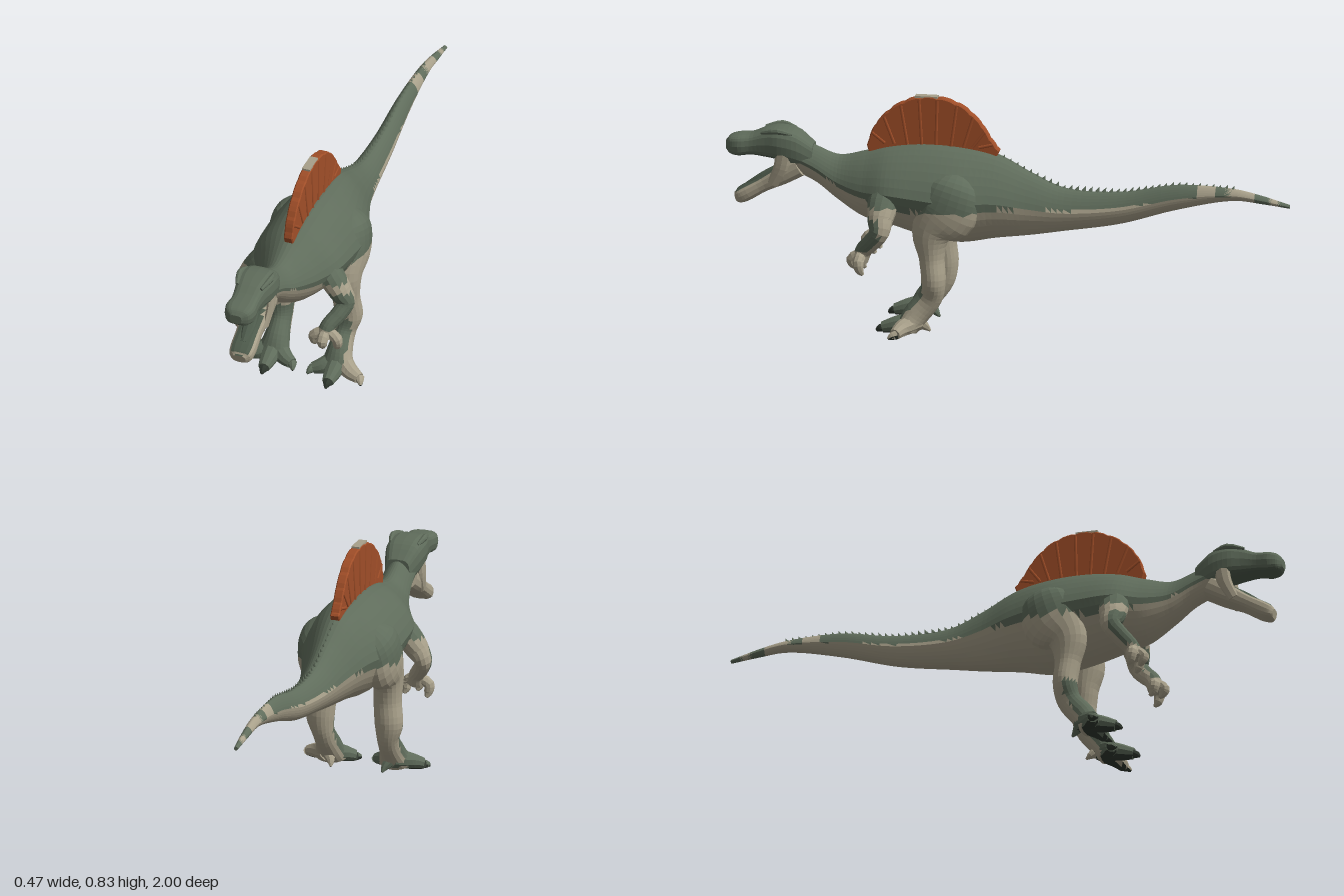
import * as THREE from 'three';

const mat = (name, color) => {
  const m = new THREE.MeshStandardMaterial({ color });
  m.name = name;
  return m;
};
const V = (x, y, z) => new THREE.Vector3(x, y, z);

// Lofts faceted skin through rows of [x, y, z, radiusX, radiusUp].
// upright keeps every ring vertical; pinch narrows top and bottom; power < 1 makes rings boxy.
// paint(centroid, normal) picks the material index of each triangle.
function loft(name, mats, rows, { n = 12, steps = 16, upright = false, pinch = [0, 0], power = 1, paint = () => 0 } = {}) {
  const path = new THREE.CatmullRomCurve3(rows.map(r => V(r[0], r[1], r[2])));
  const radii = new THREE.CatmullRomCurve3(rows.map(r => V(r[3], r[4], r[2])));
  const soft = v => Math.sign(v) * Math.abs(v) ** power;
  const rings = [], centres = [];
  for (let i = 0; i <= steps; i++) {
    const t = i / steps, c = path.getPoint(t), r = radii.getPoint(t);
    const T = upright ? V(0, 0, 1) : path.getTangent(t);
    const side = V(1, 0, 0).addScaledVector(T, -T.x).normalize();
    const up = T.clone().cross(side);
    centres.push(c);
    rings.push(Array.from({ length: n }, (_, j) => {
      const a = (j / n) * Math.PI * 2, sn = soft(Math.sin(a));
      const k = 1 - (sn > 0 ? pinch[0] * sn : -pinch[1] * sn);
      return c.clone().addScaledVector(side, soft(Math.cos(a)) * r.x * k).addScaledVector(up, sn * r.y);
    }));
  }
  const buckets = mats.map(() => []);
  const tri = (a, b, c) => {
    const mid = a.clone().add(b).add(c).divideScalar(3);
    const normal = b.clone().sub(a).cross(c.clone().sub(a)).normalize();
    buckets[paint(mid, normal)].push(...[a, b, c].flatMap(p => [p.x, p.y, p.z]));
  };
  for (let j = 0; j < n; j++) {
    const k = (j + 1) % n;
    for (let i = 0; i < steps; i++) {
      tri(rings[i][j], rings[i][k], rings[i + 1][k]);
      tri(rings[i][j], rings[i + 1][k], rings[i + 1][j]);
    }
    tri(centres[0], rings[0][k], rings[0][j]);
    tri(centres[steps], rings[steps][j], rings[steps][k]);
  }
  const geo = new THREE.BufferGeometry();
  geo.setAttribute('position', new THREE.Float32BufferAttribute(buckets.flat(), 3));
  let start = 0;
  buckets.forEach((b, i) => {
    if (b.length) geo.addGroup(start, b.length / 3, i);
    start += b.length / 3;
  });
  geo.computeVertexNormals();
  const mesh = new THREE.Mesh(geo, mats);
  mesh.name = name;
  return mesh;
}

// Converts [z, bottom, top, halfWidth] into loft rows
const profile = list => list.map(([z, b, t, w]) => [0, (b + t) / 2, z, w, (t - b) / 2]);

// Linear lookup in [z, value] pairs
function lookup(table, z) {
  for (let i = 1; i < table.length; i++) {
    const [z0, a] = table[i - 1], [z1, b] = table[i];
    if (z <= z1) return a + (b - a) * Math.max(0, (z - z0) / (z1 - z0));
  }
  return table[table.length - 1][1];
}

export function createModel() {
  const green = mat('skin green', 0x5f6c5b);
  const beige = mat('belly beige', 0xa8a08a);
  const rust = mat('sail rust', 0xa04e28);
  const dark = mat('claw dark', 0x30382f);
  const mouth = mat('mouth green', 0x4f5c4d);
  const skin = [green, beige, dark];
  const model = new THREE.Group();
  model.name = 'sailBackedDinosaur';

  // Body from tail tip to neck
  const trunk = [
    [-1, .488, .502, .008], [-.9, .5, .53, .015], [-.8, .507, .55, .02], [-.6, .465, .555, .03],
    [-.4, .405, .52, .043], [-.2, .37, .525, .062], [-.08, .35, .575, .085], [.04, .335, .635, .125],
    [.17, .315, .66, .17], [.3, .335, .665, .172], [.42, .37, .65, .16], [.51, .39, .625, .118],
    [.6, .445, .607, .075], [.68, .505, .635, .058], [.78, .55, .68, .055]];
  const edge = [[-1, .45], [-.8, .525], [-.6, .51], [-.4, .47], [-.2, .455], [0, .465], [.15, .45],
    [.35, .45], [.45, .465], [.52, .485], [.6, .515], [.7, .57], [.8, .61]];
  const tailBands = [[-.73, -.67], [-.88, -.78], [-.96, -.93]];
  model.add(loft('body', skin, profile(trunk), {
    n: 32, steps: 90, upright: true, pinch: [.3, .15],
    paint: p => {
      if (tailBands.some(([a, b]) => p.z > a && p.z < b)) return 1;
      return p.y > lookup(edge, p.z) ? 0 : 1;
    },
  }));

  // Small spines along the back of the tail
  const tops = trunk.map(r => [r[0], r[2]]);
  const spines = new THREE.Group();
  spines.name = 'tailSpines';
  for (let i = 0; i < 36; i++) {
    const z = .04 - i * .024;
    const spine = new THREE.Mesh(new THREE.ConeGeometry(.008, .02, 4), green);
    spine.name = 'spine';
    spine.position.set(0, lookup(tops, z) + .003, z);
    spine.rotation.x = -.4;
    spines.add(spine);
  }
  model.add(spines);

  // Sail with radiating ribs and a pale crest
  const arc = [[.03, .65], [.06, .69], [.1, .75], [.165, .807], [.25, .833], [.33, .828], [.41, .79], [.475, .72], [.5, .65]];
  const rim = new THREE.CatmullRomCurve3(arc.map(([z, y]) => V(0, y, z)));
  const shape = new THREE.Shape([
    new THREE.Vector2(.48, .58), new THREE.Vector2(.06, .58),
    ...rim.getPoints(44).map((p, i) => new THREE.Vector2(p.z, p.y - (i % 4 === 2 ? .004 : 0)))]);
  const sailGeo = new THREE.ExtrudeGeometry(shape, {
    depth: .026, bevelThickness: .004, bevelSize: .004, bevelOffset: -.004, bevelSegments: 1 });
  sailGeo.translate(0, 0, -.013).rotateY(-Math.PI / 2);
  const sail = new THREE.Mesh(sailGeo, rust);
  sail.name = 'sail';
  model.add(sail);
  for (let i = 1; i < 10; i++) {
    const tip = rim.getPoint(i / 10).add(V(0, -.01, 0));
    const root = V(0, .66, .27 + (tip.z - .27) * .78);
    for (const s of [-1, 1]) {
      const line = new THREE.LineCurve3(root.clone().setX(s * .016), tip.clone().setX(s * .014));
      const rib = new THREE.Mesh(new THREE.TubeGeometry(line, 1, .006, 6), rust);
      rib.name = 'sailRib';
      model.add(rib);
    }
  }
  const crest = new THREE.Mesh(new THREE.BoxGeometry(.03, .007, .08), beige);
  crest.name = 'sailCrest';
  crest.position.set(0, .832, .29);
  model.add(crest);

  // Skull and upper jaw
  model.add(loft('upperHead', [green, mouth], profile([
    [.69, .55, .645, .045], [.75, .57, .69, .066], [.81, .585, .7, .069], [.86, .592, .692, .058],
    [.91, .597, .672, .052], [.955, .592, .668, .056], [.985, .598, .66, .045], [1, .612, .645, .022]]), {
    n: 20, steps: 24, upright: true, power: .55, pinch: [.04, .08],
    paint: (p, q) => (q.y < -.7 && p.z > .8 ? 1 : 0),
  }));

  // Open lower jaw
  model.add(loft('lowerJaw', [beige, mouth], [
    [0, .565, .74, .055, .04], [0, .53, .8, .054, .037], [0, .49, .87, .046, .028],
    [0, .455, .93, .046, .029], [0, .443, .955, .04, .025], [0, .44, .967, .025, .016]], {
    n: 16, steps: 16, power: .7, paint: (p, q) => (q.y > .6 && Math.abs(p.x) < .036 ? 1 : 0),
  }));
  model.add(loft('tongue', [mouth], [
    [0, .56, .8, .025, .012], [0, .52, .87, .024, .012], [0, .485, .925, .012, .008]], { n: 8, steps: 6 }));

  for (const s of [-1, 1]) {
    const sideName = s > 0 ? 'left' : 'right';
    const flip = rows => rows.map(([x, ...rest]) => [x * s, ...rest]);

    // Brow ridge and cheek strip at the jaw hinge
    model.add(loft(sideName + 'Brow', [green], flip([
      [.05, .682, .76, .006, .006], [.058, .694, .81, .011, .011], [.045, .684, .87, .006, .006]]), { n: 8, steps: 6 }));
    model.add(loft(sideName + 'Cheek', [beige], flip([
      [.054, .61, .79, .012, .028], [.052, .56, .8, .012, .026], [.045, .5, .83, .01, .02]]), { n: 8, steps: 6 }));

    // Leg with broad thigh and forward ankle
    const leg = new THREE.Group();
    leg.name = sideName + 'Leg';
    leg.add(loft('thighAndShin', skin, flip([
      [.08, .575, .16, .03, .05], [.108, .52, .175, .064, .1], [.121, .45, .2, .063, .112],
      [.122, .375, .25, .053, .072], [.12, .28, .25, .05, .045], [.127, .2, .243, .051, .043],
      [.12, .14, .255, .039, .043], [.118, .075, .305, .046, .045], [.12, .03, .335, .062, .04]]), {
      n: 20, steps: 36,
      paint: p => {
        const front = p.z > .245 + Math.max(0, .15 - p.y) * .6 && (s < 0 || p.x < .15);
        return p.y > .455 || (p.y < .2 && front) ? 0 : 1;
      },
    }));
    // Toes with soles and claws
    [[.04, .365, 0], [.12, .425, 0], [.213, .365, s > 0 ? 1 : 0]].forEach(([x, z, skinIndex]) => {
      leg.add(loft('toe', skin, flip([
        [.12, .05, .305, .036, .036], [(x + .12) / 2, .034, (z + .325) / 2, .032, .03],
        [x, .022, z, .021, .02]]), {
        n: 10, steps: 8, paint: (p, q) => (q.y < -.75 ? 2 : skinIndex),
      }));
      const dx = (x - .12) * .16;
      leg.add(loft('claw', skin, flip([
        [x, .022, z - .005, .018, .016], [x + dx * .6, .017, z + .01, .013, .013],
        [x + dx, .009, z + .022, .004, .005]]), {
        n: 8, steps: 5, paint: (p, q) => (q.y < -.3 || x === .12 ? 2 : skinIndex),
      }));
    });
    leg.add(loft('heelSpur', [skin[s > 0 ? 1 : 0]], flip([
      [.12, .05, .3, .025, .025], [.1, .025, .275, .014, .014], [.095, .01, .26, .004, .004]]), { n: 8, steps: 5 }));
    model.add(leg);

    // Bent arm: green in front, beige behind
    const arm = new THREE.Group();
    arm.name = sideName + 'Arm';
    arm.add(loft('upperArmAndForearm', skin, flip([
      [.09, .53, .41, .04, .05], [.13, .475, .42, .045, .055], [.165, .425, .425, .042, .046],
      [.19, .382, .425, .031, .036], [.172, .342, .455, .029, .032], [.145, .305, .487, .028, .03],
      [.138, .268, .5, .032, .028]]), {
      n: 14, steps: 24,
      paint: (p, q) => (p.y > .465 || (p.y > .305 && p.y < .43 && q.z > -.1) ? 0 : 1),
    }));
    // Three curled fingers
    for (const [x, y, z] of [[.1, .232, .5], [.14, .238, .525], [.184, .228, .495]]) {
      arm.add(loft('finger', [beige], flip([
        [.142, .295, .495, .02, .02], [x, .268, z + .005, .02, .02],
        [x, y + .012, z, .016, .016], [x - .004, y - .004, z - .01, .006, .006]]), { n: 9, steps: 9 }));
    }
    model.add(arm);
  }
  return model;
}
